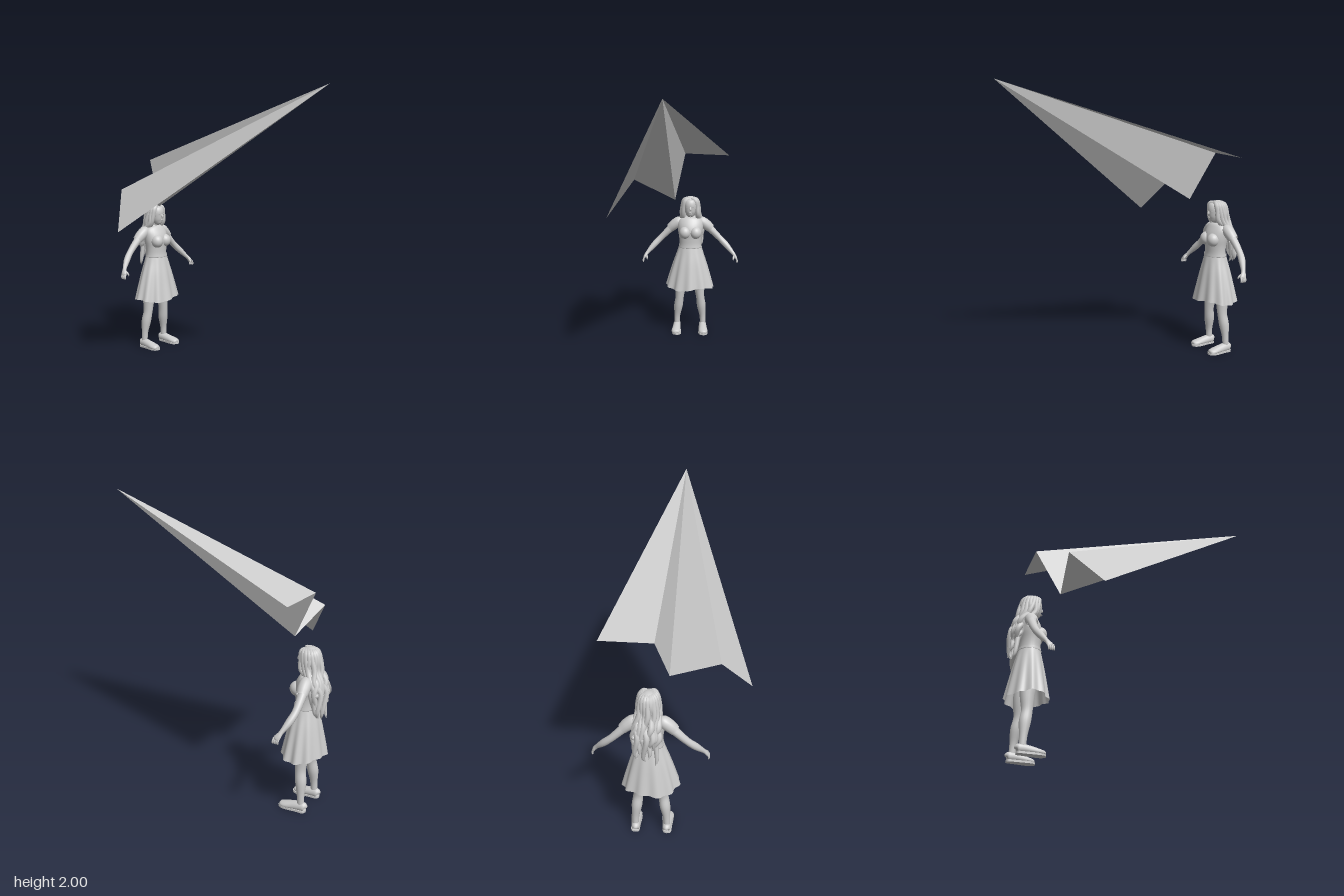
import * as THREE from 'three';

const grey = new THREE.MeshStandardMaterial({ color: 0xcccccc, side: THREE.DoubleSide });
grey.name = 'light grey';

// Smooth loft: sections are [x, y, z, radius along ref, radius across].
// shape(angle, t, point) may adjust each vertex.
function loft(name, sections, { ref = [1, 0, 0], sides = 16, steps = 5, shape } = {}) {
  const path = new THREE.CatmullRomCurve3(sections.map(s => new THREE.Vector3(s[0], s[1], s[2])), false, 'catmullrom', 0.5);
  const radii = new THREE.CatmullRomCurve3(sections.map(s => new THREE.Vector3(s[3], s[4] ?? s[3], 0)), false, 'catmullrom', 0.5);
  const n = (sections.length - 1) * steps, pos = [], index = [];
  const up = new THREE.Vector3(...ref);
  for (let i = 0; i <= n; i++) {
    const t = i / n, c = path.getPoint(t), r = radii.getPoint(t), T = path.getTangent(t);
    const N = up.clone().addScaledVector(T, -up.dot(T)).normalize();
    const B = T.clone().cross(N);
    for (let j = 0; j < sides; j++) {
      const a = j / sides * Math.PI * 2;
      const p = c.clone().addScaledVector(N, Math.cos(a) * Math.max(r.x, 0.0005))
        .addScaledVector(B, Math.sin(a) * Math.max(r.y, 0.0005));
      if (shape) shape(a, t, p, c);
      pos.push(p.x, p.y, p.z);
      if (i < n) {
        const k = i * sides + j, m = i * sides + (j + 1) % sides;
        index.push(k, m, m + sides, k, m + sides, k + sides);
      }
    }
  }
  const g = new THREE.BufferGeometry();
  g.setAttribute('position', new THREE.Float32BufferAttribute(pos, 3));
  g.setIndex(index);
  g.computeVertexNormals();
  const mesh = new THREE.Mesh(g, grey);
  mesh.name = name;
  return mesh;
}

function ball(name, x, y, z, rx, ry, rz) {
  const m = new THREE.Mesh(new THREE.SphereGeometry(1, 24, 16), grey);
  m.name = name;
  m.position.set(x, y, z);
  m.scale.set(rx, ry, rz);
  return m;
}

// Folded sheet: four triangles fanning out from the nose
function paperPlane() {
  const nose = [0.89, 2.0, 0.01];
  const tail = [[-0.73, 1.47, -0.43], [-0.755, 1.48, -0.085], [-0.585, 1.14, -0.01], [-0.65, 1.285, 0.315], [-0.475, 1.01, 0.52]];
  const g = new THREE.BufferGeometry();
  const pos = [];
  for (let i = 0; i < 4; i++) pos.push(...nose, ...tail[i], ...tail[i + 1]);
  g.setAttribute('position', new THREE.Float32BufferAttribute(pos, 3));
  g.computeVertexNormals();
  const m = new THREE.Mesh(g, grey);
  m.name = 'paperPlane';
  return m;
}

function dress() {
  const g = new THREE.Group();
  g.name = 'dress';
  g.add(loft('bodice', [
    [-0.742, 0.70, 0, 0.076, 0.092], [-0.742, 0.75, 0, 0.07, 0.087], [-0.742, 0.80, 0, 0.072, 0.09],
    [-0.745, 0.86, 0, 0.08, 0.1], [-0.757, 0.92, 0, 0.066, 0.102], [-0.768, 0.955, 0, 0.048, 0.075],
    [-0.77, 0.975, 0, 0.028, 0.034],
  ], { sides: 28 }));
  for (const s of [1, -1]) {
    g.add(ball('bust', -0.69, 0.85, 0.043 * s, 0.048, 0.05, 0.046));
    g.add(loft('sleeve', [
      [-0.772, 0.945, 0.06 * s, 0.02], [-0.775, 0.928, 0.09 * s, 0.04], [-0.778, 0.898, 0.13 * s, 0.042],
      [-0.782, 0.866, 0.165 * s, 0.036],
    ]));
  }
  g.add(loft('waistband', [[-0.742, 0.722, 0, 0.078, 0.094], [-0.742, 0.742, 0, 0.076, 0.092]], { sides: 28 }));
  // Flared skirt whose pleats deepen toward the hem
  g.add(loft('skirt', [
    [-0.742, 0.39, 0, 0.142, 0.19], [-0.742, 0.50, 0, 0.122, 0.161], [-0.742, 0.60, 0, 0.103, 0.132],
    [-0.742, 0.68, 0, 0.085, 0.106], [-0.742, 0.735, 0, 0.072, 0.09],
  ], {
    sides: 96,
    shape: (a, t, p, c) => {
      const k = 1 + (1 - t) * (0.05 * Math.cos(11 * a) + 0.02 * Math.cos(5 * a + 1));
      p.x = c.x + (p.x - c.x) * k;
      p.z = c.z + (p.z - c.z) * k;
      p.y += (1 - t) * 0.01 * Math.sin(3 * a);
    },
  }));
  return g;
}

function head() {
  const g = new THREE.Group();
  g.name = 'head';
  g.add(loft('neck', [[-0.768, 0.955, 0, 0.034], [-0.758, 0.985, 0, 0.03], [-0.745, 1.03, 0, 0.031]]));
  g.add(loft('face', [
    [-0.705, 0.978, 0, 0.004], [-0.708, 0.983, 0, 0.022, 0.02], [-0.718, 1.005, 0, 0.04, 0.038],
    [-0.727, 1.04, 0, 0.052, 0.049], [-0.732, 1.08, 0, 0.056, 0.052], [-0.737, 1.11, 0, 0.042, 0.04],
    [-0.738, 1.128, 0, 0.001],
  ], { sides: 24 }));
  g.add(loft('nose', [[-0.682, 1.07, 0, 0.004], [-0.673, 1.042, 0, 0.009, 0.009], [-0.676, 1.033, 0, 0.001]], { sides: 8 }));
  g.add(loft('lips', [[-0.678, 1.014, -0.016, 0.001], [-0.675, 1.014, 0, 0.006], [-0.678, 1.014, 0.016, 0.001]], { sides: 8 }));
  for (const s of [1, -1]) g.add(ball('eye', -0.684, 1.06, 0.021 * s, 0.006, 0.005, 0.01));
  return g;
}

// Long hair: a cap plus wavy locks gathered behind the back
function hair() {
  const g = new THREE.Group();
  g.name = 'hair';
  g.add(ball('hairCap', -0.757, 1.075, 0, 0.068, 0.062, 0.064));
  const count = 15;
  for (let i = 0; i < count; i++) {
    const f = i / (count - 1), a = THREE.MathUtils.degToRad(58 + 244 * f);
    const c = Math.cos(a), s = Math.sin(a), w = Math.sin(i * 2.4) * 0.012;
    const end = 0.79 + 0.06 * Math.sin(i * 1.7) - 0.04 * (i % 2);
    g.add(loft('lock', [
      [-0.725 + 0.012 * c, 1.125, 0.006 * s, 0.006],
      [-0.742 + 0.052 * c, 1.108, 0.045 * s, 0.02],
      [-0.752 + 0.066 * c, 1.06, 0.062 * s, 0.019],
      [-0.765 + 0.06 * c + w, 0.99, 0.07 * s, 0.018],
      [-0.81 + 0.038 * c - w, 0.92, 0.072 * s - 0.01 + w, 0.02],
      [-0.835 + 0.032 * c + w, 0.85, 0.075 * s - 0.015 - w, 0.019],
      [-0.845 + 0.022 * c, end, 0.07 * s - 0.02 + w, 0.014],
      [-0.852 + 0.015 * c - w, end - 0.05, 0.065 * s - 0.015, 0.001],
    ], { sides: 8 }));
  }
  return g;
}

function arm(s) {
  const g = new THREE.Group();
  g.name = s > 0 ? 'armAtFront' : 'armAtBack';
  g.add(loft('armSkin', [
    [-0.775, 0.925, 0.09 * s, 0.03], [-0.783, 0.86, 0.165 * s, 0.029], [-0.782, 0.785, 0.24 * s, 0.024],
    [-0.765, 0.73, 0.295 * s, 0.024], [-0.738, 0.675, 0.345 * s, 0.015], [-0.725, 0.65, 0.364 * s, 0.021, 0.012],
    [-0.716, 0.632, 0.373 * s, 0.02, 0.01], [-0.714, 0.626, 0.375 * s, 0.001],
  ], { sides: 12 }));
  for (let i = 0; i < 4; i++) {
    const x = -0.735 + i * 0.012;
    g.add(loft('finger', [
      [x, 0.642, 0.369 * s, 0.006], [x + 0.003, 0.62, 0.381 * s, 0.006],
      [x + 0.004, 0.605, 0.379 * s, 0.005], [x + 0.004, 0.6, 0.377 * s, 0.001],
    ], { sides: 8, steps: 3 }));
  }
  g.add(loft('thumb', [[-0.72, 0.656, 0.355 * s, 0.008], [-0.697, 0.638, 0.35 * s, 0.007], [-0.69, 0.622, 0.348 * s, 0.002]], { sides: 8 }));
  return g;
}

function leg(s) {
  const g = new THREE.Group();
  g.name = s > 0 ? 'legAtFront' : 'legAtBack';
  g.add(loft('legSkin', [
    [-0.748, 0.60, 0.055 * s, 0.058, 0.05], [-0.755, 0.45, 0.07 * s, 0.053, 0.048], [-0.758, 0.38, 0.076 * s, 0.047, 0.043],
    [-0.757, 0.29, 0.085 * s, 0.037, 0.034], [-0.768, 0.21, 0.095 * s, 0.038, 0.036], [-0.775, 0.12, 0.105 * s, 0.026, 0.025],
    [-0.778, 0.04, 0.108 * s, 0.024, 0.022],
  ]));
  const flat = (a, t, p) => { p.y = Math.max(p.y, 0.012); };
  g.add(loft('shoe', [
    [-0.815, 0.03, 0.106 * s, 0.002], [-0.808, 0.034, 0.106 * s, 0.03, 0.026], [-0.77, 0.034, 0.107 * s, 0.033, 0.031],
    [-0.72, 0.027, 0.109 * s, 0.031, 0.034], [-0.665, 0.02, 0.112 * s, 0.024, 0.037], [-0.635, 0.017, 0.113 * s, 0.017, 0.026],
    [-0.627, 0.016, 0.113 * s, 0.001],
  ], { ref: [0, 1, 0], shape: flat }));
  // Flat sole following the shoe outline
  const outline = new THREE.Shape(new THREE.SplineCurve([
    [-0.817, 0], [-0.805, 0.027], [-0.75, 0.031], [-0.67, 0.04], [-0.635, 0.03], [-0.622, 0.006],
    [-0.635, -0.026], [-0.67, -0.037], [-0.75, -0.031], [-0.805, -0.027], [-0.817, 0],
  ].map(p => new THREE.Vector2(...p))).getPoints(40));
  const sole = new THREE.Mesh(new THREE.ExtrudeGeometry(outline, { depth: 0.014, bevelEnabled: false }), grey);
  sole.name = 'sole';
  sole.rotation.x = -Math.PI / 2;
  sole.position.z = 0.109 * s;
  g.add(sole);
  return g;
}

export function createModel() {
  const model = new THREE.Group();
  model.name = 'womanWithPaperPlane';
  const woman = new THREE.Group();
  woman.name = 'woman';
  woman.position.z = -0.128;
  woman.add(dress(), head(), hair());
  for (const s of [1, -1]) woman.add(arm(s), leg(s));
  model.add(paperPlane(), woman);
  return model;
}
